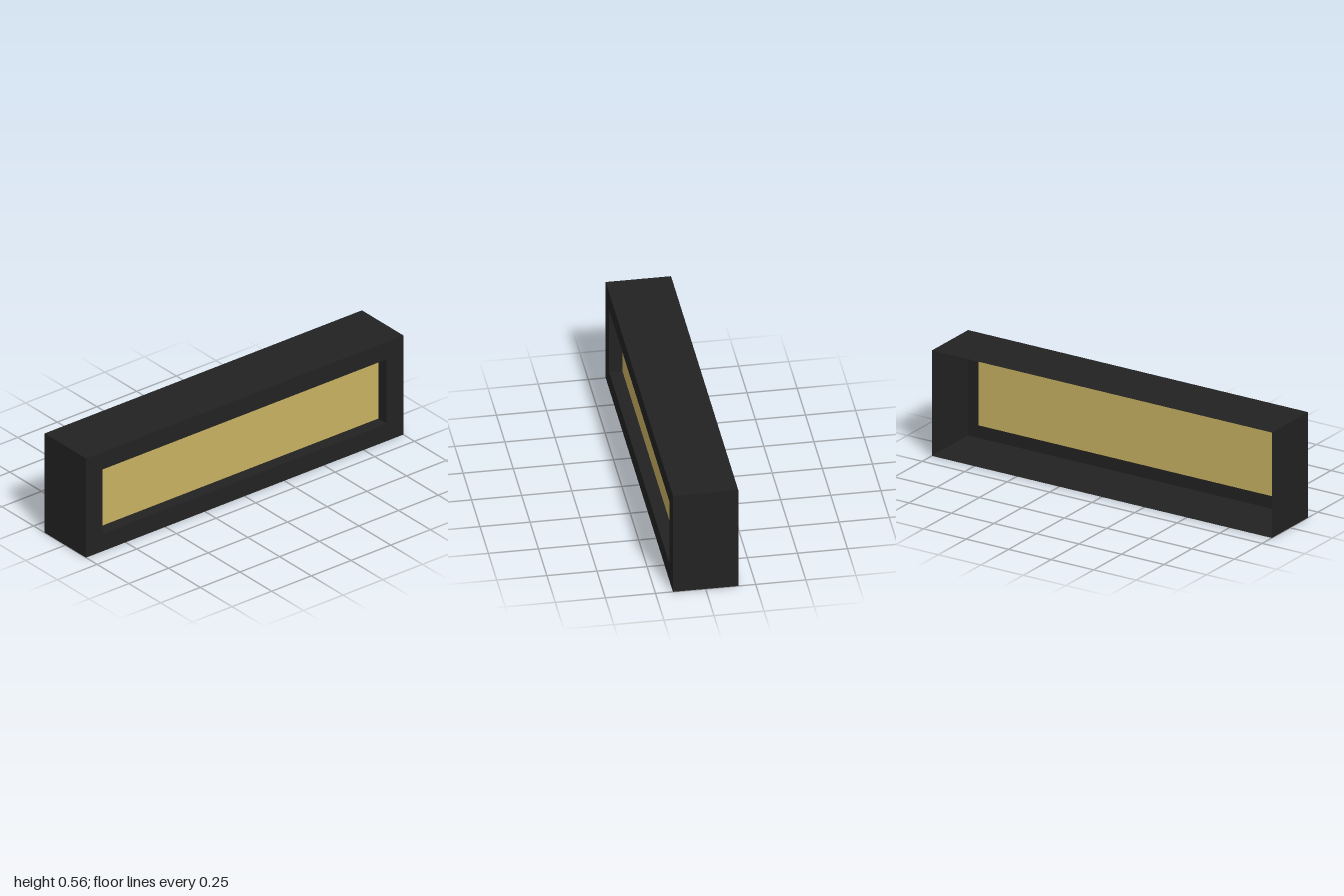
import * as THREE from 'three';

const W = 2, H = 0.558, D = 0.326;       // outer casing
const HOLE_W = 1.79, HOLE_H = 0.362;     // front opening
const RECESS = 0.066;                    // depth of the panel behind the front

export function createModel() {
  const group = new THREE.Group();
  const black = new THREE.MeshStandardMaterial({ color: 0x222222, side: THREE.DoubleSide });
  black.name = 'black';
  const gold = new THREE.MeshStandardMaterial({ color: 0xc9b261, side: THREE.DoubleSide });
  gold.name = 'gold';

  const add = (name, geometry, material, parent = group) => {
    const mesh = new THREE.Mesh(geometry, material);
    mesh.name = name;
    parent.add(mesh);
    return mesh;
  };

  // Four thin walls around a rectangle, open at front and back
  const sleeve = (name, w, h, depth, zFront) => {
    const walls = new THREE.Group();
    walls.name = name;
    walls.position.set(0, H / 2, zFront - depth / 2);
    for (const s of [-1, 1]) {
      const side = add(s > 0 ? 'leftWall' : 'rightWall', new THREE.PlaneGeometry(depth, h), black, walls);
      side.rotation.y = s * Math.PI / 2;
      side.position.x = s * w / 2;
      const flat = add(s > 0 ? 'topWall' : 'bottomWall', new THREE.PlaneGeometry(w, depth), black, walls);
      flat.rotation.x = -s * Math.PI / 2;
      flat.position.y = s * h / 2;
    }
    group.add(walls);
  };

  sleeve('casing', W, H, D, D / 2);
  sleeve('recess', HOLE_W, HOLE_H, RECESS, D / 2);

  // Front frame with a rectangular opening
  const rect = (Type, w, h) => new Type([[-1, -1], [1, -1], [1, 1], [-1, 1]]
    .map(([x, y]) => new THREE.Vector2(x * w / 2, y * h / 2)));
  const frame = rect(THREE.Shape, W, H);
  frame.holes.push(rect(THREE.Path, HOLE_W, HOLE_H));
  add('frontFrame', new THREE.ShapeGeometry(frame), black).position.set(0, H / 2, D / 2);

  // Panel closing the recess
  add('panel', new THREE.PlaneGeometry(HOLE_W, HOLE_H), gold).position.set(0, H / 2, D / 2 - RECESS);

  return group;
}
